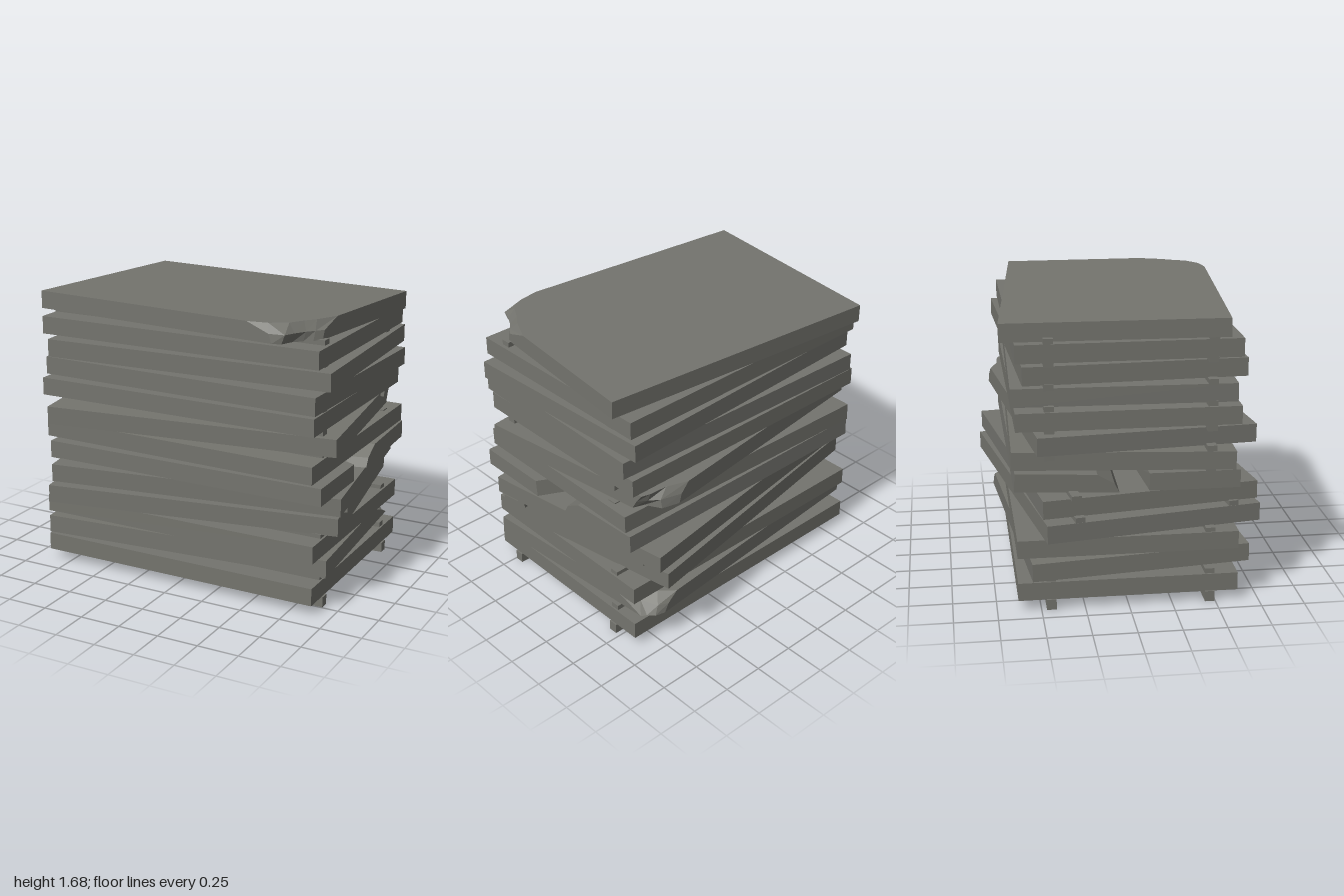
import * as THREE from 'three';

const W = 0.89, D = 0.63, T = 0.105; // half width, half depth and thickness of a slab

// Solid through stacked outlines; each ring is { y, pts: [[x, z], ...] }, counter-clockwise from above
function loft(rings) {
  const pos = [];
  const tri = (...ps) => ps.forEach((p) => pos.push(...p));
  const loops = rings.map((r) => r.pts.map(([x, z]) => [x, r.y, z]));
  for (let k = 0; k < loops.length - 1; k++) {
    const lo = loops[k], hi = loops[k + 1];
    lo.forEach((a, i) => {
      const j = (i + 1) % lo.length;
      tri(a, lo[j], hi[j]);
      tri(a, hi[j], hi[i]);
    });
  }
  const cap = (loop, up) => {
    const flat = loop.map(([x, , z]) => new THREE.Vector2(x, -z));
    for (const [a, b, c] of THREE.ShapeUtils.triangulateShape(flat, [])) {
      if (up) tri(loop[a], loop[b], loop[c]);
      else tri(loop[a], loop[c], loop[b]);
    }
  };
  cap(loops[0], false);
  cap(loops[loops.length - 1], true);
  const g = new THREE.BufferGeometry();
  g.setAttribute('position', new THREE.Float32BufferAttribute(pos, 3));
  g.computeVertexNormals();
  return g;
}

// Slab with one broken corner on the +x end; each chip ring lists inward offsets from that corner
function chippedSlab(front, chips) {
  const s = front ? 1 : -1;
  return loft(chips.map((chip, k) => {
    const broken = chip.map(([dx, dz]) => [W - dx, s * (D - dz)]);
    const right = front ? [...broken, [W, -D]] : [[W, D], ...broken];
    return { y: -T / 2 + (T * k) / (chips.length - 1), pts: [[-W, D], ...right, [-W, -D]] };
  }));
}

export function createModel() {
  const model = new THREE.Group();
  const concrete = new THREE.MeshStandardMaterial({ color: 0x74746e });
  const add = (name, geometry, x, y, z, yaw = 0, tilt = 0) => {
    const m = new THREE.Mesh(geometry, concrete);
    m.name = name;
    m.position.set(x, y, z);
    m.rotation.set(tilt, yaw, 0);
    model.add(m);
  };

  const plain = new THREE.BoxGeometry(2 * W, T, 2 * D);

  // Broken corners, listed from bottom ring to top ring
  const topChip = chippedSlab(true, [
    [[0.18, 0], [0.13, 0.02], [0.11, 0.1], [0.07, 0.15], [0.03, 0.19], [0, 0.24]],
    [[0.2, 0], [0.11, 0.02], [0.09, 0.09], [0.06, 0.16], [0.03, 0.21], [0, 0.26]],
    [[0.34, 0], [0.22, 0.03], [0.13, 0.1], [0.09, 0.19], [0.05, 0.26], [0, 0.4]],
  ]);
  const lowChip = chippedSlab(false, [
    [[0, 0.08], [0.03, 0.06], [0.06, 0.02], [0.12, 0]],
    [[0, 0.2], [0.06, 0.14], [0.09, 0.03], [0.15, 0]],
    [[0, 0.36], [0.1, 0.28], [0.14, 0.08], [0.22, 0]],
  ]);
  const midChip = chippedSlab(false, [
    [[0, 0.17], [0.06, 0.14], [0.1, 0.04], [0.2, 0]],
    [[0, 0.14], [0.05, 0.1], [0.1, 0.05], [0.22, 0]],
    [[0, 0.1], [0.05, 0.08], [0.16, 0.06], [0.28, 0]],
  ]);

  // Stacked slabs: [x, centre height, yaw, tilt, geometry]
  const slabs = [
    [0, 0.113, 0, 0, plain],
    [0, 0.255, 0.087, -0.016, lowChip],
    [0.002, 0.368, 0, 0, plain],
    [-0.012, 0.493, 0.172, 0, plain],
    [0.02, 0.623, 0.152, 0, plain],
    [0.017, 0.863, -0.028, 0.027, plain],
    [0.01, 0.982, 0.124, 0.011, midChip],
    [-0.005, 1.113, 0, 0, plain],
    [0.025, 1.24, -0.025, 0, plain],
    [0.04, 1.368, 0.048, 0, plain],
    [0.01, 1.493, 0.006, 0, plain],
    [0.003, 1.613, -0.09, -0.018, topChip],
  ];
  slabs.forEach(([x, y, yaw, tilt, g]) => add('slab', g, x, y, 0, yaw, tilt));

  // Slab snapped in two along its length
  const frontHalf = (e) => [[-0.85, 0.64], [0.94, 0.64], [0.94, 0.17 + e],
    [0.74, 0.07 + e], [0.2, 0.12], [-0.4, 0.09 + e], [-0.85, 0.12]];
  add('brokenSlabFront', loft([
    { y: -T / 2, pts: frontHalf(0) }, { y: T / 2, pts: frontHalf(0.01) }]), 0, 0.725, 0);
  const backHalf = (e) => [[-0.87, -0.05 - e], [-0.4, -0.04 - e], [0.2, -0.02 - e / 2],
    [0.65, -e], [0.82, -0.04 - e], [0.92, -0.06 - e], [0.92, -0.64], [-0.87, -0.64]];
  add('brokenSlabBack', loft([
    { y: -T / 2, pts: backHalf(0) }, { y: 0, pts: backHalf(0.03) },
    { y: T / 2, pts: backHalf(0.13) }]), 0, 0.728, 0, 0, 0.05);

  // Spacer battens: [bottom, top, yaw, sides, length]
  const battens = [
    [0, 0.062, 0, [1, -1], 1.8],
    [0.16, 0.195, 0, [1, -1], 1.76],
    [0.415, 0.445, 0, [1, -1], 1.76],
    [0.54, 0.575, 0.172, [1, -1], 1.8],
    [0.67, 0.7, 0.152, [-1], 1.8],
    [0.77, 0.805, 0, [1], 1.72],
    [0.885, 0.935, 0, [1, -1], 1.76],
    [1.02, 1.065, 0, [1, -1], 1.76],
    [1.16, 1.195, 0, [1, -1], 1.76],
    [1.285, 1.32, 0, [1, -1], 1.76],
    [1.415, 1.445, 0, [1, -1], 1.76],
    [1.54, 1.575, 0, [1, -1], 1.76],
  ];
  for (const [y0, y1, yaw, sides, length] of battens) {
    for (const s of sides) {
      const z = 0.0125 + s * 0.455;
      add('batten', new THREE.BoxGeometry(length, y1 - y0, 0.055),
        z * Math.sin(yaw), (y0 + y1) / 2, z * Math.cos(yaw), yaw);
    }
  }
  return model;
}
